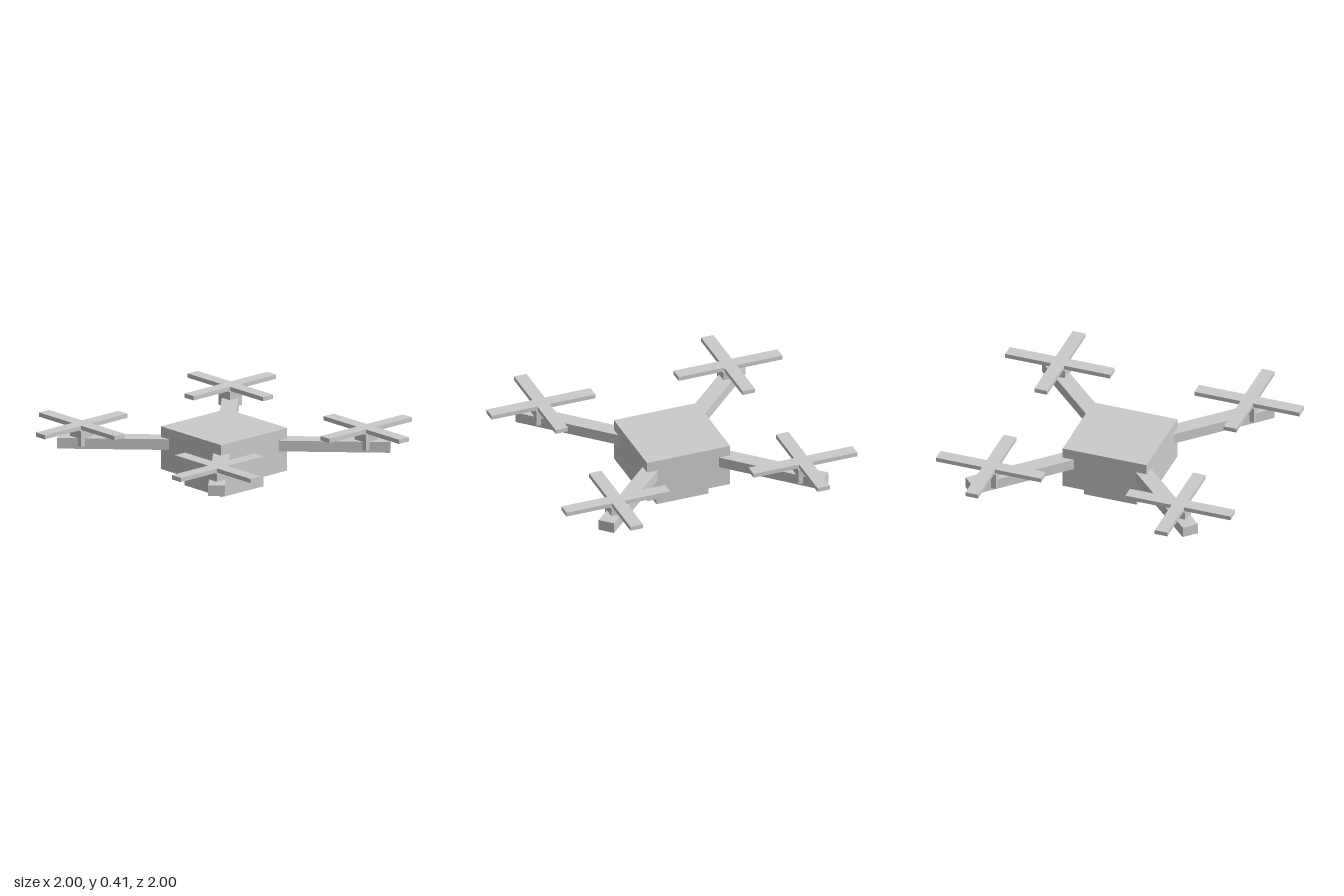
import * as THREE from 'three';

export function createModel() {
  const model = new THREE.Group();
  model.name = 'quadcopter';
  const material = new THREE.MeshStandardMaterial({ color: 0xcccccc, flatShading: true });

  // Box given by its size and the height of its underside
  function box(parent, name, w, h, d, bottom, x = 0, z = 0) {
    const mesh = new THREE.Mesh(new THREE.BoxGeometry(w, h, d), material);
    mesh.name = name;
    mesh.position.set(x, bottom + h / 2, z);
    parent.add(mesh);
    return mesh;
  }

  // Body with the payload box below it
  box(model, 'body', 0.571, 0.284, 0.571, 0.107);
  box(model, 'payload', 0.357, 0.107, 0.357, 0);

  // Four diagonal arms, each with a motor and a crossed rotor
  const armStart = 0.2, armEnd = 1.064, rotor = 0.643;
  for (const sx of [1, -1]) {
    for (const sz of [1, -1]) {
      const unit = new THREE.Group();
      unit.name = (sz > 0 ? 'front' : 'back') + (sx > 0 ? 'Left' : 'Right') + 'Rotor';
      model.add(unit);

      const mid = (armStart + armEnd) / 2 * Math.SQRT1_2;
      const arm = box(unit, 'arm', armEnd - armStart, 0.071, 0.107, 0.25, sx * mid, sz * mid);
      arm.rotation.y = -sx * sz * Math.PI / 4;

      box(unit, 'motor', 0.107, 0.107, 0.107, 0.268, sx * rotor, sz * rotor);
      box(unit, 'bladeAcross', 0.714, 0.028, 0.086, 0.378, sx * rotor, sz * rotor);
      box(unit, 'bladeAlong', 0.086, 0.028, 0.714, 0.378, sx * rotor, sz * rotor);
    }
  }
  return model;
}
